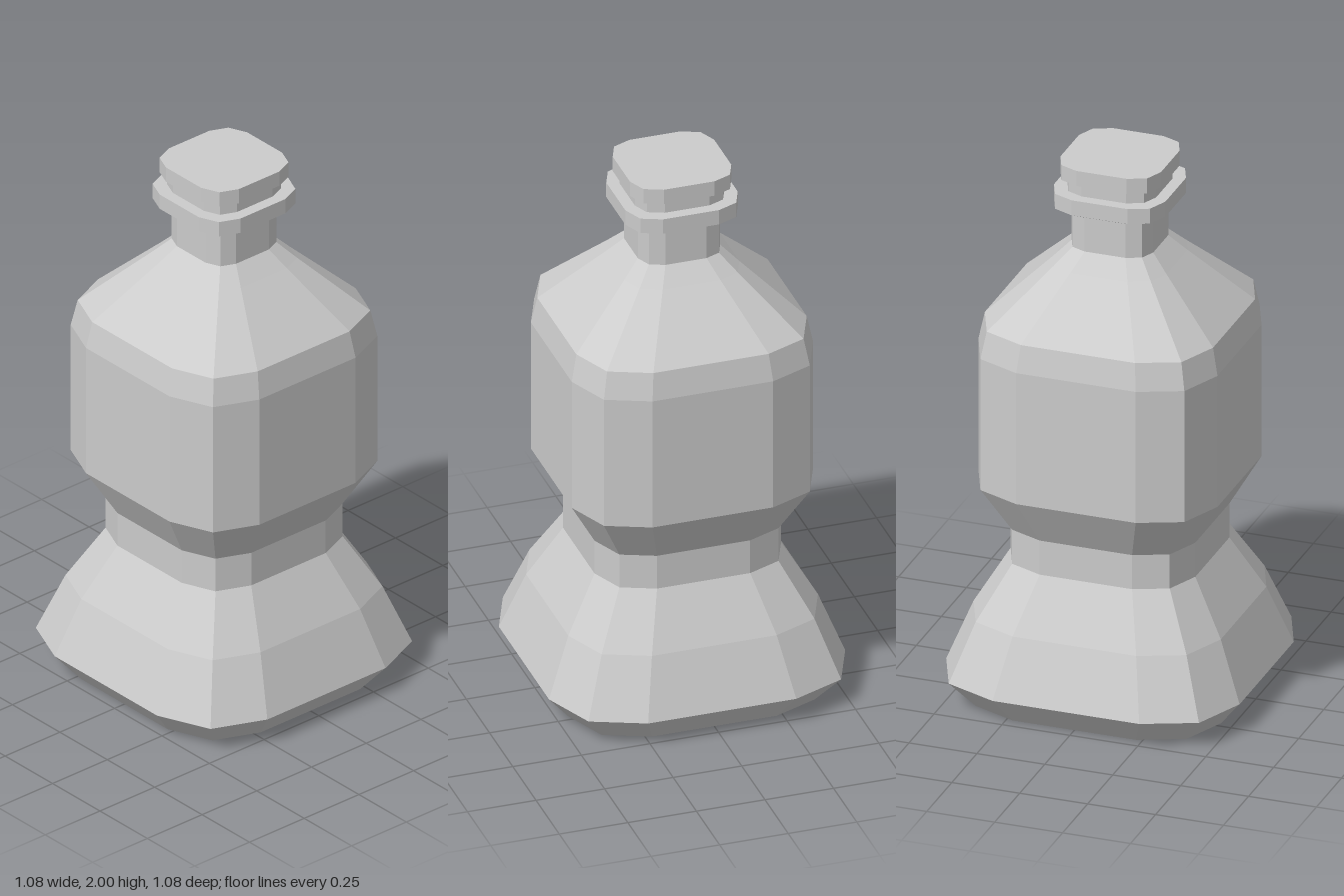
import * as THREE from 'three';

const material = new THREE.MeshStandardMaterial({ color: 0xcccccc, flatShading: true });

// Unit cross-section: a square with two-step bevelled corners (12 points)
const section = [];
for (let q = 0, pts = [[1, 0.5], [0.853, 0.853], [0.5, 1]]; q < 4; q++) {
  section.push(...pts);
  pts = pts.map(([x, z]) => [-z, x]);
}

// Sweeps the cross-section through [halfWidth, y] levels from bottom to top
function loft(name, profile) {
  const n = section.length;
  const positions = [];
  const point = ([r, y], i) => [section[i % n][0] * r, y, section[i % n][1] * r];
  for (let k = 0; k < profile.length - 1; k++) {
    const low = profile[k], high = profile[k + 1];
    for (let i = 0; i < n; i++) {
      const a = point(low, i), b = point(low, i + 1);
      const c = point(high, i + 1), d = point(high, i);
      if (high[0] > 0) positions.push(...a, ...d, ...c);
      if (low[0] > 0) positions.push(...a, ...c, ...b);
    }
  }
  const geometry = new THREE.BufferGeometry();
  geometry.setAttribute('position', new THREE.Float32BufferAttribute(positions, 3));
  geometry.computeVertexNormals();
  const mesh = new THREE.Mesh(geometry, material);
  mesh.name = name;
  return mesh;
}

export function createModel() {
  const bottle = new THREE.Group();
  bottle.name = 'bottle';
  bottle.add(
    // Flared foot with a chamfered underside
    loft('foot', [[0, 0], [0.455, 0], [0.54, 0.105], [0.455, 0.32], [0.34, 0.515]]),
    // Narrow waist
    loft('waist', [[0.34, 0.515], [0.34, 0.645]]),
    // Main body
    loft('body', [[0.34, 0.645], [0.44, 0.82], [0.44, 1.32], [0.42, 1.42]]),
    // Sloping shoulder
    loft('shoulder', [[0.42, 1.42], [0.21, 1.62], [0.15, 1.68]]),
    // Neck
    loft('neck', [[0.15, 1.68], [0.15, 1.82]]),
    // Collar ring below the cap
    loft('collar', [[0.15, 1.82], [0.19, 1.83], [0.205, 1.838], [0.205, 1.895], [0.163, 1.895]]),
    // Groove and flat cap
    loft('groove', [[0.163, 1.895], [0.163, 1.94]]),
    loft('cap', [[0.163, 1.94], [0.185, 1.943], [0.185, 2], [0, 2]]),
  );
  return bottle;
}
